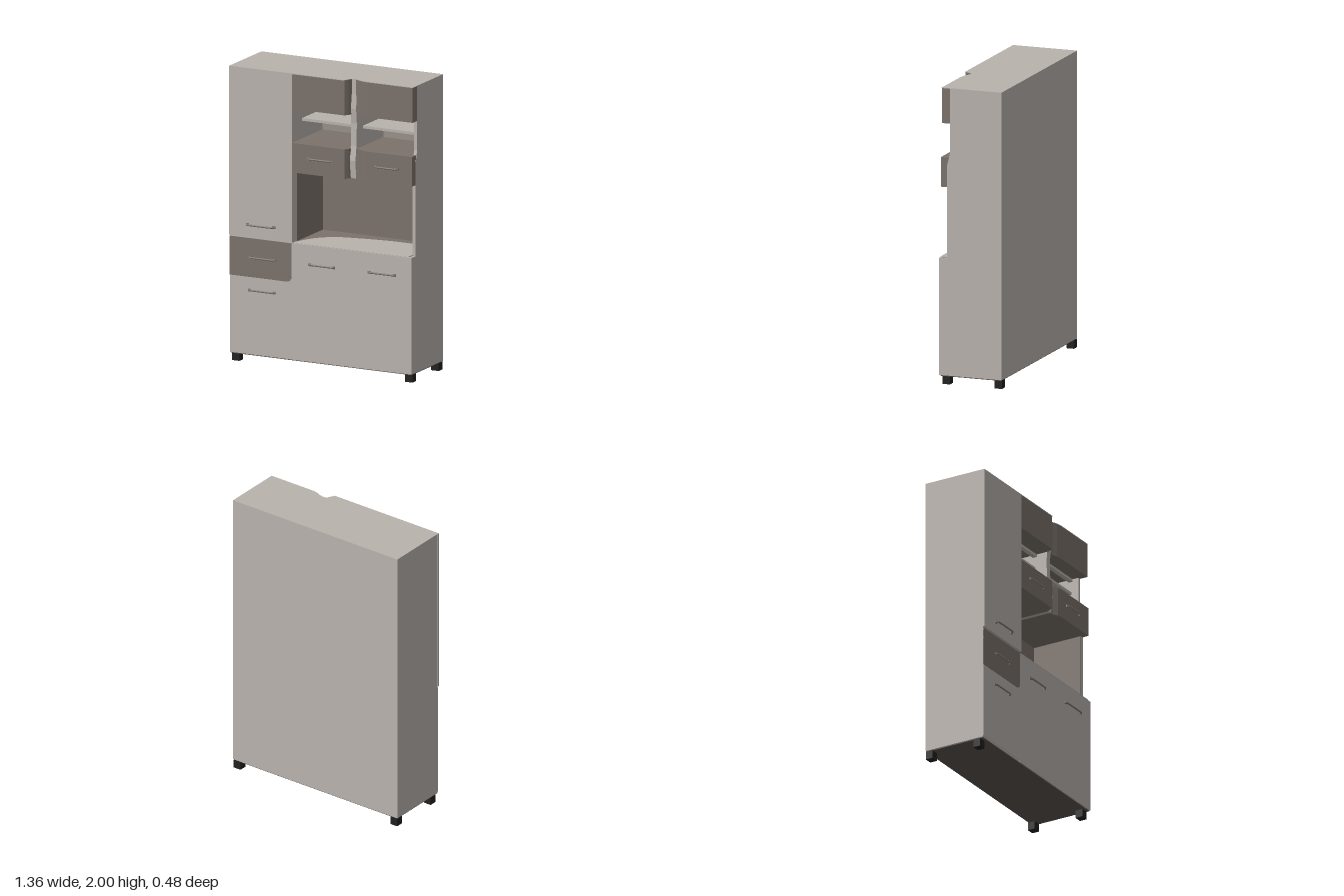
import * as THREE from 'three';

const mat = (name, color, side = THREE.FrontSide) => {
  const m = new THREE.MeshStandardMaterial({ color, side });
  m.name = name;
  return m;
};

export function createModel() {
  const cabinet = new THREE.Group();
  cabinet.name = 'kitchenCabinet';
  const light = mat('warmLightGrey', 0xb9b3ad);
  const taupe = mat('taupe', 0x7b726b);
  const mid = mat('shelfGrey', 0x98918a);
  const metal = mat('handleGrey', 0x807a74);
  const dark = mat('footBlack', 0x222120);
  const under = mat('undersideBrown', 0x5c544e);

  const add = (name, geometry, material) => {
    const mesh = new THREE.Mesh(geometry, material);
    mesh.name = name;
    cabinet.add(mesh);
    return mesh;
  };
  // Box given by its limits on each axis
  const box = (name, material, x0, x1, y0, y1, z0, z1) => {
    const g = new THREE.BoxGeometry(x1 - x0, y1 - y0, z1 - z0);
    g.translate((x0 + x1) / 2, (y0 + y1) / 2, (z0 + z1) / 2);
    return add(name, g, material);
  };
  // Prism with an outline of [x, z] points, raised from y0 to y1
  const slab = (name, material, outline, y0, y1) => {
    const shape = new THREE.Shape(outline.map(([x, z]) => new THREE.Vector2(x, -z)));
    const g = new THREE.ExtrudeGeometry(shape, { depth: y1 - y0, bevelEnabled: false });
    g.rotateX(-Math.PI / 2).translate(0, y0, 0);
    return add(name, g, material);
  };

  // Carcass
  const L = -0.677, R = 0.677, split = -0.21, back = -0.24;
  box('backPanel', light, L, R, 0.06, 1.998, back, -0.22);
  box('tallUnit', light, L, split, 0.06, 1.998, -0.22, 0.2);
  box('baseUnit', light, split, 0.66, 0.06, 0.85, -0.22, 0.203);
  box('underside', under, L + 0.005, R - 0.005, 0.054, 0.06, back + 0.005, 0.195);

  // Right side panel with a stepped front edge
  const sideShape = new THREE.Shape([
    [back, 0.06], [0.203, 0.06], [0.203, 0.85], [0.145, 0.85], [0.145, 1.48],
    [0.125, 1.56], [0.125, 1.998], [back, 1.998],
  ].map(([z, y]) => new THREE.Vector2(z, y)));
  const side = new THREE.ExtrudeGeometry(sideShape, { depth: 0.022, bevelEnabled: false });
  side.rotateY(-Math.PI / 2).translate(R, 0, 0);
  add('rightSidePanel', side, light);

  // Tall door and the rounded drawer front below it
  box('tallDoor', light, L - 0.002, split, 0.857, 1.998, 0.195, 0.213);
  box('lowerLeftDoor', light, L, split, 0.07, 0.85, 0.195, 0.204);
  const front = new THREE.Shape();
  front.moveTo(L, 0.585);
  front.lineTo(-0.255, 0.585);
  front.quadraticCurveTo(-0.217, 0.585, -0.217, 0.625);
  front.lineTo(-0.217, 0.848);
  front.lineTo(L, 0.848);
  const drawer = new THREE.ExtrudeGeometry(front, { depth: 0.004, bevelEnabled: false });
  add('leftDrawerFront', drawer.translate(0, 0, 0.203), taupe);

  // Open niche: wall linings, and a worktop with a curved shaded rear
  box('nicheBack', taupe, split, 0.655, 0.85, 1.33, -0.22, -0.215);
  box('nicheLeftLining', taupe, split, split + 0.004, 0.85, 1.33, -0.215, 0.145);
  box('nicheRightLining', taupe, 0.651, 0.655, 0.85, 1.33, -0.215, 0.143);
  box('worktopRear', taupe, split, 0.655, 0.85, 0.852, -0.215, 0.19);
  const curve = new THREE.CatmullRomCurve3([
    [-0.205, 0.17], [-0.14, 0.03], [-0.04, -0.06], [0.15, -0.11], [0.4, -0.14], [0.65, -0.13],
  ].map(([x, z]) => new THREE.Vector3(x, 0, z)));
  const rear = curve.getPoints(20).map((p) => [p.x, p.z]);
  slab('worktopFront', light, [[-0.205, 0.203], ...rear, [0.65, 0.203]].reverse(), 0.852, 0.854);

  // Left and right front outlines, dipping towards the central divider
  const leftOutline = [[split, -0.22], [split, 0.21], [0.18, 0.21], [0.196, 0.185], [0.208, 0.158], [0.208, -0.22]];
  const rightOutline = [[0.238, -0.22], [0.238, 0.158], [0.265, 0.162], [0.3, 0.176], [0.34, 0.182],
    [R - 0.002, 0.182], [R - 0.002, 0.125], [0.655, 0.125], [0.655, -0.22]];
  const drawerOutline = rightOutline.map(([x, z]) => [x, z > 0.17 ? z + 0.008 : z]);
  slab('upperLeftDoor', taupe, leftOutline, 1.76, 1.998);
  slab('upperRightDoor', taupe, rightOutline, 1.76, 1.998);
  slab('leftDrawer', taupe, leftOutline, 1.33, 1.53);
  slab('rightDrawer', taupe, drawerOutline, 1.33, 1.53);
  slab('topPanel', light, [[L, back], [L, 0.213], [0.18, 0.213], [0.208, 0.158], [0.238, 0.156],
    [0.265, 0.163], [0.3, 0.177], [0.34, 0.183], [R, 0.183], [R, back]], 1.996, 2);

  // Central divider with a gently waved front
  const dividerShape = new THREE.Shape([
    [-0.22, 1.33], [0.165, 1.33], [0.175, 1.45], [0.16, 1.55], [0.155, 1.7],
    [0.165, 1.8], [0.158, 1.9], [0.157, 1.997], [-0.22, 1.997],
  ].map(([z, y]) => new THREE.Vector2(z, y)));
  const divider = new THREE.ExtrudeGeometry(dividerShape, { depth: 0.042, bevelEnabled: false });
  add('centralDivider', divider.rotateY(-Math.PI / 2).translate(0.244, 0, 0), light);

  // Open shelves either side of the divider
  for (const [x0, x1] of [[split, 0.205], [0.242, 0.655]]) {
    box('shelfBack', mid, x0, x1, 1.53, 1.76, -0.22, -0.215);
    box('shelf', light, x0, x1, 1.65, 1.668, -0.215, 0.07);
    box('shelfTopRail', light, x0, x1, 1.742, 1.76, 0.05, 0.08);
  }

  // Bow handles: centre x, y, front z, width, reach
  const handle = (x, y, z, width, reach) => {
    const h = width / 2;
    const path = new THREE.CatmullRomCurve3([
      [-h + 0.008, 0], [-h + 0.012, reach * 0.75], [-h * 0.5, reach * 0.95], [0, reach],
      [h * 0.5, reach * 0.95], [h - 0.012, reach * 0.75], [h - 0.008, 0],
    ].map(([px, pz]) => new THREE.Vector3(x + px, y, z + pz)));
    add('handle', new THREE.TubeGeometry(path, 28, 0.006, 8), metal);
    for (const s of [-1, 1]) box('handleMount', metal, x + s * (h - 0.01) - 0.01, x + s * (h - 0.01) + 0.01,
      y - 0.009, y + 0.009, z - 0.002, z + 0.006);
  };
  handle(-0.44, 0.942, 0.213, 0.215, 0.022);
  handle(-0.435, 0.718, 0.207, 0.2, 0.01);
  handle(-0.437, 0.496, 0.204, 0.2, 0.01);
  handle(0.008, 0.718, 0.203, 0.2, 0.01);
  handle(0.456, 0.718, 0.203, 0.21, 0.01);
  handle(-0.005, 1.435, 0.21, 0.19, 0.008);
  handle(0.482, 1.435, 0.19, 0.18, 0.016);

  // Feet
  for (const x of [-0.647, 0.643]) {
    for (const z of [0.153, -0.214]) box('foot', dark, x - 0.028, x + 0.028, 0, 0.056, z - 0.026, z + 0.026);
  }
  return cabinet;
}
